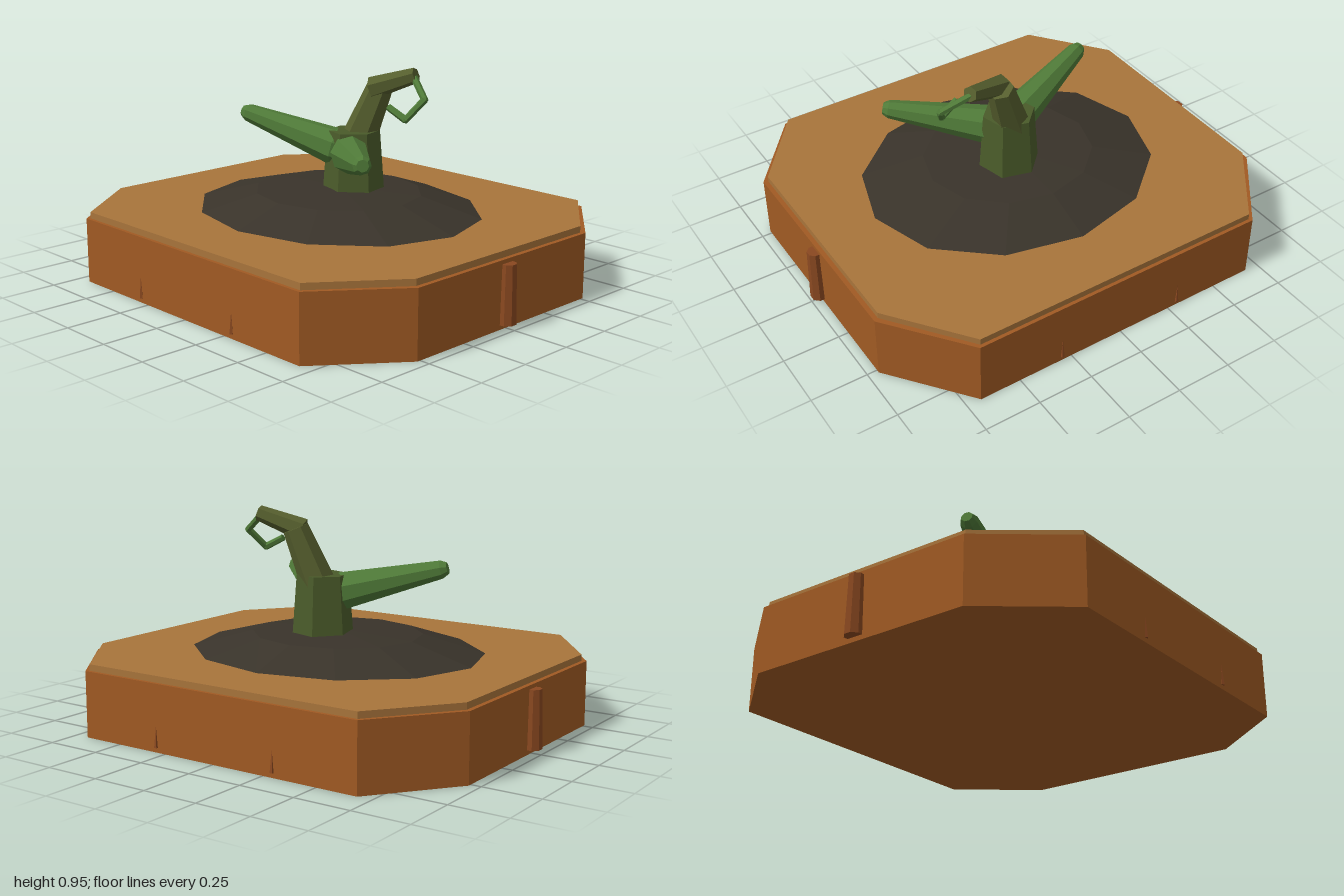
import * as THREE from 'three';

const V = (x, y, z) => new THREE.Vector3(x, y, z);
const UP = V(0, 1, 0);

function mat(color) {
  return new THREE.MeshStandardMaterial({ color, flatShading: true });
}

function add(group, name, geometry, material) {
  const mesh = new THREE.Mesh(geometry, material);
  mesh.name = name;
  group.add(mesh);
  return mesh;
}

// Solid slab with a rectangular plan and cut corners
function slab(hx, hz, cx, cz, y0, y1) {
  const s = new THREE.Shape([
    [cx, hz], [-cx, hz], [-hx, cz], [-hx, -cz],
    [-cx, -hz], [cx, -hz], [hx, -cz], [hx, cz],
  ].map(([x, y]) => new THREE.Vector2(x, y)));
  return new THREE.ExtrudeGeometry(s, { depth: y1 - y0, bevelEnabled: false })
    .rotateX(-Math.PI / 2).translate(0, y0, 0);
}

// Faceted body of revolution running from a to b; profile = [radius, fraction along]
function limb(a, b, profile, sides) {
  const d = b.clone().sub(a);
  const points = profile.map(([r, t]) => new THREE.Vector2(r, t * d.length()));
  const q = new THREE.Quaternion().setFromUnitVectors(UP, d.normalize());
  return new THREE.LatheGeometry(points, sides).applyQuaternion(q).translate(a.x, a.y, a.z);
}

const taper = (r0, r1) => [[0, 0], [r0, 0], [r1, 1], [0, 1]];

export function createModel() {
  const model = new THREE.Group();
  model.name = 'planter';
  const stemMat = mat(0x4a5b2a);
  const neckMat = mat(0x565f2e);
  const leafMat = mat(0x4f7a38);
  const ribMat = mat(0x8a4820);

  // Box and lid
  add(model, 'base', slab(0.955, 0.86, 0.685, 0.515, 0, 0.287), mat(0xa05a23));
  add(model, 'topSlab', slab(0.935, 0.845, 0.675, 0.505, 0.28, 0.315), mat(0xa8743b));

  // Side ribs and small grain marks
  for (const s of [-1, 1]) {
    add(model, 'sideRib', new THREE.CylinderGeometry(0.034, 0.04, 0.25, 8)
      .rotateY(Math.PI / 8).translate(s * 0.96, 0.145, 0), ribMat);
    for (const x of [-0.295, 0.295]) {
      add(model, 'grainMark', new THREE.ConeGeometry(0.01, 0.1, 5)
        .translate(x, 0.07, s * 0.859), ribMat);
    }
  }

  // Low soil mound
  const soil = new THREE.LatheGeometry([[0.68, 0.313], [0.385, 0.392], [0, 0.408]]
    .map(([r, y]) => new THREE.Vector2(r, y)), 12).scale(1, 1, 0.855);
  // Keep the upper ring a little rounder than the rim
  const p = soil.attributes.position;
  for (let i = 0; i < p.count; i++) {
    if (Math.abs(p.getY(i) - 0.392) < 0.01) p.setZ(i, p.getZ(i) * 1.07);
  }
  add(model, 'soil', soil, mat(0x39332a));

  // Plant: stump, bent neck, two leaves and a curled tendril
  const plant = new THREE.Group();
  plant.name = 'plant';
  model.add(plant);

  add(plant, 'stump', new THREE.CylinderGeometry(0.115, 0.135, 0.27, 6)
    .rotateY(Math.PI / 12).translate(0.035, 0.52, -0.06), stemMat);

  add(plant, 'lowerNeck', limb(V(0.04, 0.62, -0.09), V(0.125, 0.855, -0.135), taper(0.077, 0.057), 6), neckMat);
  add(plant, 'upperNeck', limb(V(0.105, 0.845, -0.105), V(0.295, 0.915, -0.175), taper(0.05, 0.034), 6), neckMat);

  const leafProfile = [[0, -0.02], [0.06, -0.01], [0.085, 0.08], [0.04, 0.95], [0.026, 1], [0, 1]];
  add(plant, 'rightLeaf', limb(V(0.02, 0.565, -0.03), V(-0.475, 0.698, 0.137), leafProfile, 8), leafMat);
  add(plant, 'leftLeaf', limb(V(0.055, 0.56, -0.01), V(0.45, 0.622, 0.3), leafProfile, 8), leafMat);

  const curl = [V(0.285, 0.905, -0.172), V(0.4, 0.83, -0.115), V(0.357, 0.748, -0.045), V(0.272, 0.793, -0.03)];
  for (let i = 0; i < 3; i++) {
    add(plant, 'tendril', limb(curl[i], curl[i + 1], taper(0.016, 0.015), 6), leafMat);
    if (i) add(plant, 'tendrilJoint', new THREE.IcosahedronGeometry(0.017, 0)
      .translate(curl[i].x, curl[i].y, curl[i].z), leafMat);
  }
  return model;
}
